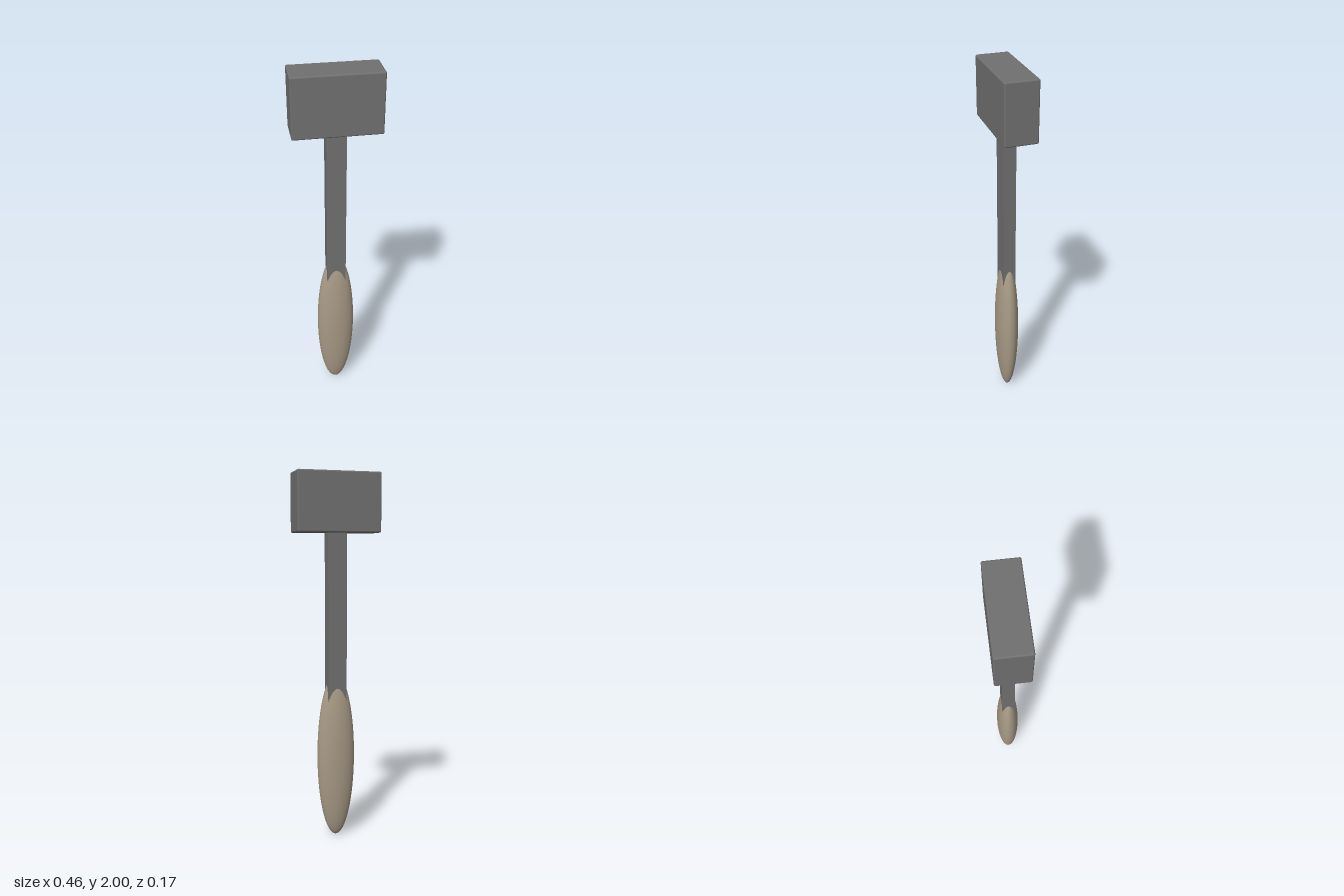
import * as THREE from 'three';
import { RoundedBoxGeometry } from 'three/addons/geometries/RoundedBoxGeometry.js';

export function createModel() {
  const model = new THREE.Group();
  model.name = 'hammer';

  const steel = new THREE.MeshStandardMaterial({ color: 0x707070 });
  steel.name = 'grey steel';
  const wood = new THREE.MeshStandardMaterial({ color: 0xa89a86 });
  wood.name = 'pale wood';

  const add = (name, geometry, material, y) => {
    const mesh = new THREE.Mesh(geometry, material);
    mesh.name = name;
    mesh.position.y = y;
    model.add(mesh);
  };

  // Block head with slightly softened edges
  add('head', new RoundedBoxGeometry(0.455, 0.315, 0.174, 3, 0.008), steel, 1.8425);

  // Rectangular shaft, from inside the grip up into the head
  add('shaft', new THREE.BoxGeometry(0.104, 1.05, 0.07), steel, 1.225);

  // Flattened ellipsoid grip
  const grip = new THREE.SphereGeometry(1, 48, 32).scale(0.105, 0.461, 0.063);
  add('grip', grip, wood, 0.461);

  return model;
}
